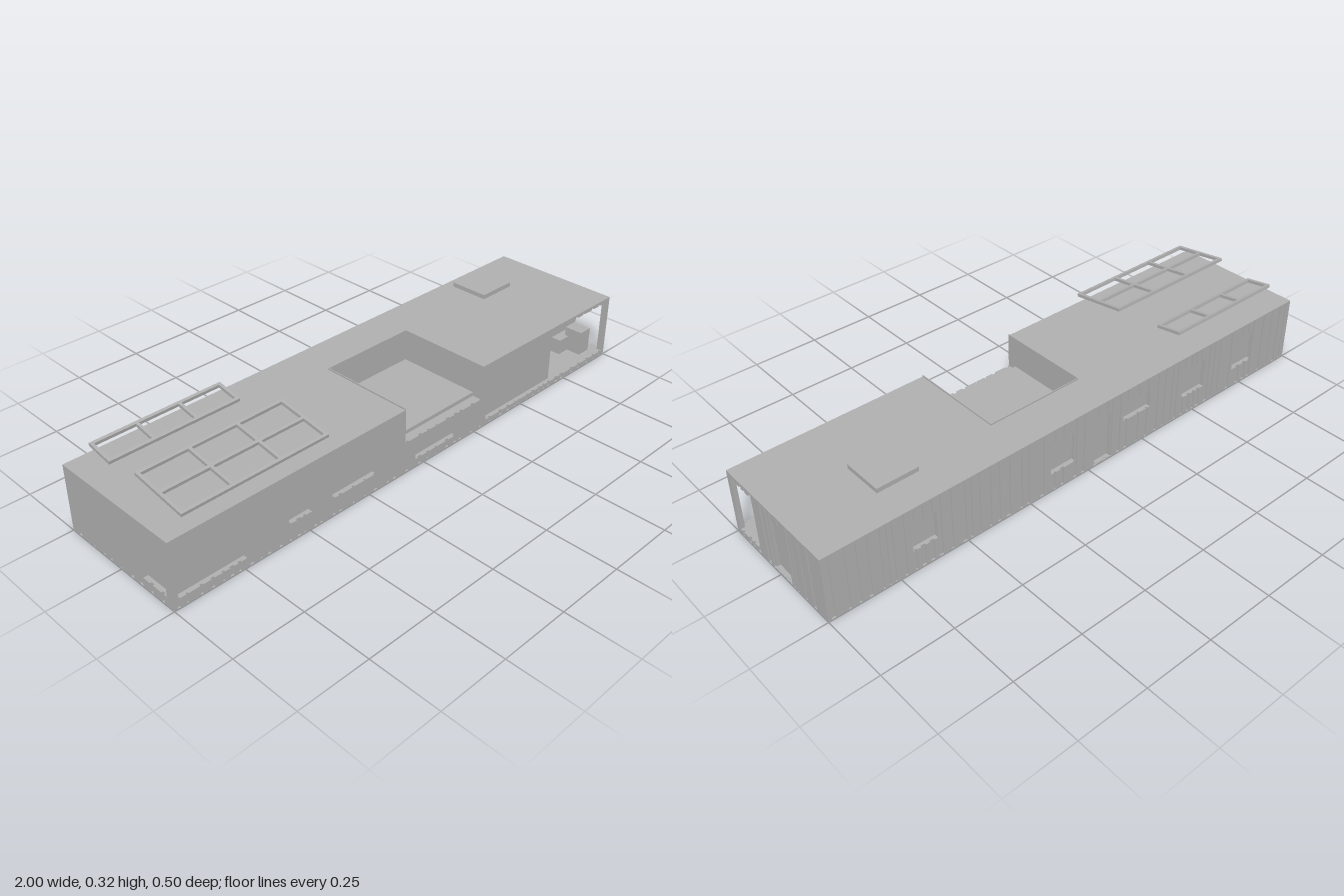
import * as THREE from 'three';
import { mergeGeometries } from 'three/addons/utils/BufferGeometryUtils.js';

const grey = new THREE.MeshStandardMaterial({ color: 0xb0b0b0 });
grey.name = 'plain grey';

const T = 0.02; // wall thickness

// Box geometry from its minimum and maximum corners
function span(x0, x1, y0, y1, z0, z1) {
  return new THREE.BoxGeometry(x1 - x0, y1 - y0, z1 - z0)
    .translate((x0 + x1) / 2, (y0 + y1) / 2, (z0 + z1) / 2);
}

function part(name, geometry, parent) {
  const mesh = new THREE.Mesh(geometry, grey);
  mesh.name = name;
  parent.add(mesh);
  return mesh;
}

// Solid between two heights from a plan outline of [x, z] points
function slab(points, y0, y1) {
  const shape = new THREE.Shape(points.map(([x, z]) => new THREE.Vector2(x, -z)));
  return new THREE.ExtrudeGeometry(shape, { depth: y1 - y0, bevelEnabled: false })
    .rotateX(-Math.PI / 2).translate(0, y0, 0);
}

// Wall of irregular upright boards and grooves; openings are [u0, u1, y0, y1]
function cladWall(name, half, openings, panes, seed) {
  const wall = new THREE.Group();
  wall.name = name;
  let s = seed;
  const rnd = () => (s = (s * 16807) % 2147483647) / 2147483647;
  const boards = [];
  let u = -half, raised = true;
  while (u < half - 1e-6) {
    let end = Math.min(half, u + (raised ? 0.012 + rnd() * 0.034 : 0.005 + rnd() * 0.012));
    if (half - end < 0.01) end = half;
    // cut the strip at the sides of the openings
    const cuts = [u, end];
    openings.forEach((o) => [o[0], o[1]].forEach((c) => { if (c > u && c < end) cuts.push(c); }));
    cuts.sort((a, b) => a - b);
    for (let i = 0; i < cuts.length - 1; i++) {
      const a = cuts[i], b = cuts[i + 1], mid = (a + b) / 2;
      let y = 0.003;
      const front = raised ? 0 : -0.006;
      openings.filter((o) => mid > o[0] && mid < o[1]).sort((p, q) => p[2] - q[2])
        .forEach((o) => {
          if (o[2] > y + 1e-4) boards.push(span(a, b, y, o[2], -T, front));
          y = o[3];
        });
      if (y < 0.236) boards.push(span(a, b, y, 0.237, -T, front));
    }
    u = end;
    raised = !raised;
  }
  part('boards', mergeGeometries(boards), wall);
  panes.forEach((p) => part('windowPane', span(p[0], p[1], p[2], p[3], -T, -T + 0.003), wall));
  return wall;
}

// Open tilted frame divided into cells, centred on its own origin
function panelFrame(name, width, depth, cols, rows) {
  const bar = 0.011, h = 0.011, bars = [];
  for (let i = 0; i <= cols; i++) {
    const x = -width / 2 + bar / 2 + ((width - bar) * i) / cols;
    bars.push(span(x - bar / 2, x + bar / 2, -h / 2, h / 2, -depth / 2, depth / 2));
  }
  for (let j = 0; j <= rows; j++) {
    const z = -depth / 2 + bar / 2 + ((depth - bar) * j) / rows;
    bars.push(span(-width / 2, width / 2, -h / 2, h / 2, z - bar / 2, z + bar / 2));
  }
  const mesh = new THREE.Mesh(mergeGeometries(bars), grey);
  mesh.name = name;
  return mesh;
}

export function createModel() {
  const house = new THREE.Group();
  house.name = 'house';
  const X = 1 - T, Z = 0.25 - T;        // faces of the inner core
  const nx0 = -0.09, nx1 = 0.28, nz = -0.1; // roof terrace cut-out

  // Base plate and floor
  part('basePlate', span(-1, 1, 0, 0.003, -0.25, 0.25), house);
  part('floor', span(-X, X, 0.003, 0.02, -Z, Z), house);

  // Inner core, cut away at the corner porch and the roof terrace
  const back = [[X, -Z], [-X, -Z], [-X, Z]];
  const porch = [[0.68, Z], [0.735, 0.115], [X, 0.115]];
  const notch = (z) => [[nx0, z], [nx0, nz], [nx1, nz], [nx1, z]];
  part('lowerCore', slab([...back, ...porch], 0.02, 0.115), house);
  part('upperCore', slab([...back, ...notch(Z), ...porch], 0.115, 0.225), house);
  part('ceiling', slab([...back, ...notch(Z), [X, Z]], 0.225, 0.237), house);
  part('roof', slab([[1, -0.25], [-1, -0.25], [-1, 0.25], ...notch(0.25), [1, 0.25]], 0.237, 0.24), house);

  // Terrace deck, with a lower ledge along the front, and a thin rim
  part('terraceDeck', span(nx0, nx1, 0.112, 0.129, nz, 0.215), house);
  [[nx0 - 0.001, nx0 + 0.002], [nx1 - 0.002, nx1 + 0.001]].forEach(([a, b]) =>
    part('terraceSide', span(a, b, 0.115, 0.245, nz, 0.25), house));
  part('terraceBack', span(nx0, nx1, 0.129, 0.245, nz - 0.001, nz + 0.002), house);

  // Front wall
  const frontWindows = [
    [-0.98, -0.74, 0.035, 0.217], [-0.58, -0.49, 0.065, 0.207],
    [-0.40, -0.22, 0.065, 0.207], [-0.04, 0.155, 0.03, 0.107],
  ];
  const front = cladWall('frontWall', 1,
    [...frontWindows, [nx0, nx1, 0.115, 0.24], [0.31, 0.985, 0.02, 0.225]],
    [...frontWindows, [0.31, 0.68, 0.02, 0.225]], 11);
  front.position.z = 0.25;

  // Back wall, measured along -x
  const backWindows = [
    [-0.70, -0.61, 0.08, 0.18], [-0.165, -0.06, 0.07, 0.187], [0.03, 0.10, 0.005, 0.19],
    [0.155, 0.28, 0.12, 0.185], [0.44, 0.55, 0.075, 0.19], [0.70, 0.805, 0.075, 0.19],
  ];
  const rear = cladWall('backWall', 1, backWindows, backWindows, 29);
  rear.rotation.y = Math.PI;
  rear.position.z = -0.25;

  // End walls
  const door = [-0.032, 0.062, 0.005, 0.21];
  const leftEnd = cladWall('leftEndWall', Z, [door, [-0.235, -0.115, 0.02, 0.22]], [door], 47);
  leftEnd.rotation.y = Math.PI / 2;
  leftEnd.position.x = 1;
  const endWindow = [0.11, 0.22, 0.035, 0.217];
  const rightEnd = cladWall('rightEndWall', Z, [endWindow], [endWindow], 83);
  rightEnd.rotation.y = -Math.PI / 2;
  rightEnd.position.x = -1;
  house.add(front, rear, leftEnd, rightEnd);

  // Porch chair
  part('chairSeat', span(0.85, 0.955, 0.02, 0.077, 0.116, 0.155), house);
  part('chairBack', span(0.90, 0.955, 0.02, 0.111, 0.14, 0.21), house);

  // Tilted frames above the roof
  const large = panelFrame('largeRoofFrame', 0.535, 0.208, 3, 2);
  large.position.set(-0.6675, 0.301, 0.131);
  large.rotation.x = 0.153;
  const small = panelFrame('smallRoofFrame', 0.475, 0.1, 3, 1);
  small.position.set(-0.6975, 0.296, -0.149);
  small.rotation.x = 0.17;
  house.add(large, small);

  // Raised roof hatch
  part('roofHatch', span(0.602, 0.75, 0.277, 0.293, -0.166, -0.02), house);

  return house;
}
